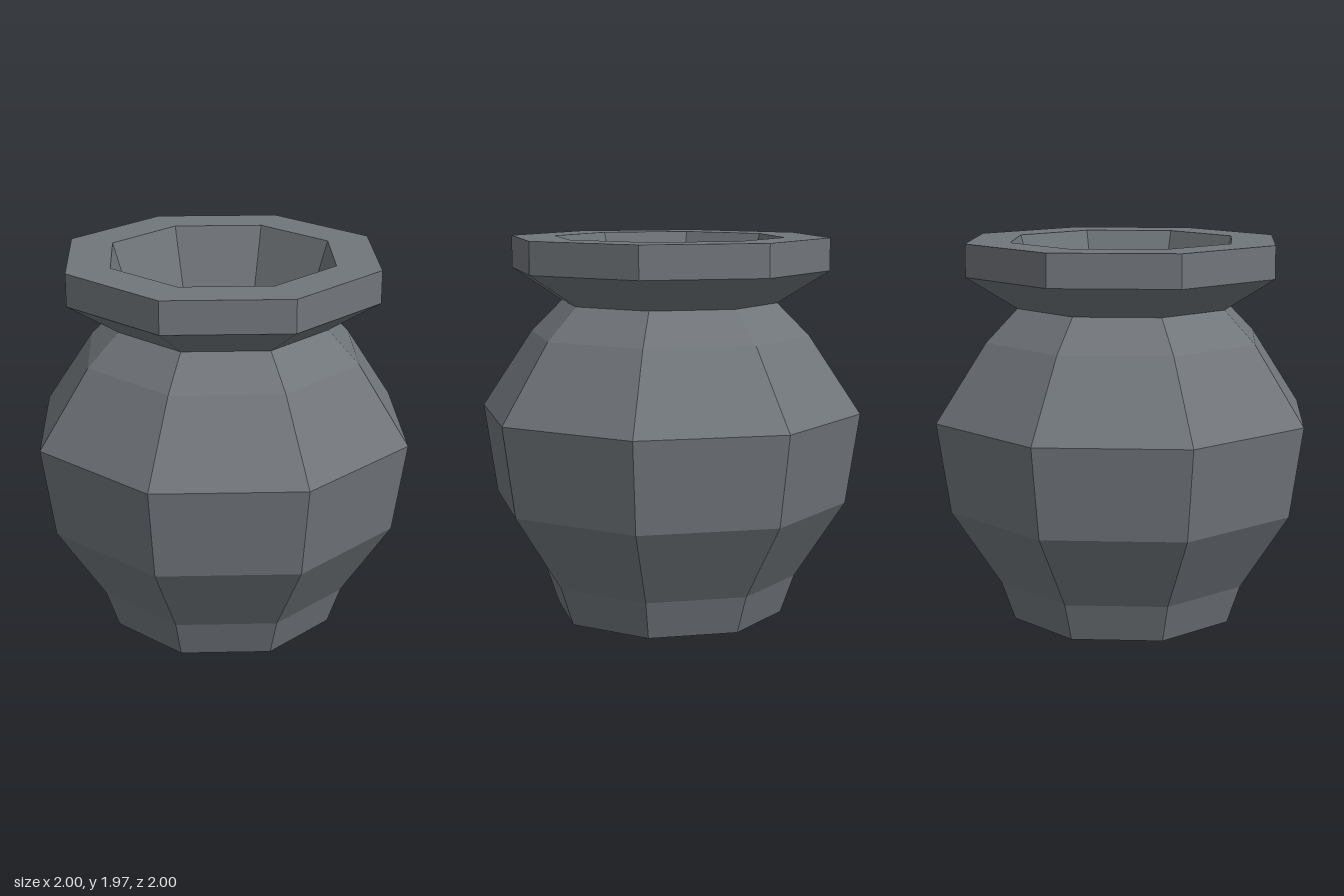
import * as THREE from 'three';

const SIDES = 8;

// Turn a [radius, height] profile into a faceted ring of faces
function turned(name, profile, material) {
  const points = profile.map(([r, y]) => new THREE.Vector2(r, y));
  const mesh = new THREE.Mesh(new THREE.LatheGeometry(points, SIDES), material);
  mesh.name = name;
  return mesh;
}

export function createModel() {
  const group = new THREE.Group();
  group.name = 'pot';
  const clay = new THREE.MeshStandardMaterial({ color: 0x71767b, flatShading: true });

  // Flat base, belly and shoulder up to the neck
  group.add(turned('body', [
    [0, 0], [0.6, 0], [0.67, 0.2], [0.93, 0.6], [1, 1.067], [0.733, 1.467], [0.567, 1.633],
  ], clay));

  // Flared lip with a flat top
  group.add(turned('rim', [
    [0.567, 1.633], [0.833, 1.8], [0.833, 1.967], [0.6, 1.967],
  ], clay));

  // Tapered mouth, inner wall and slightly dished floor
  group.add(turned('interior', [
    [0.6, 1.967], [0.5, 1.65], [0.51, 0.4], [0, 0.32],
  ], clay));

  return group;
}
